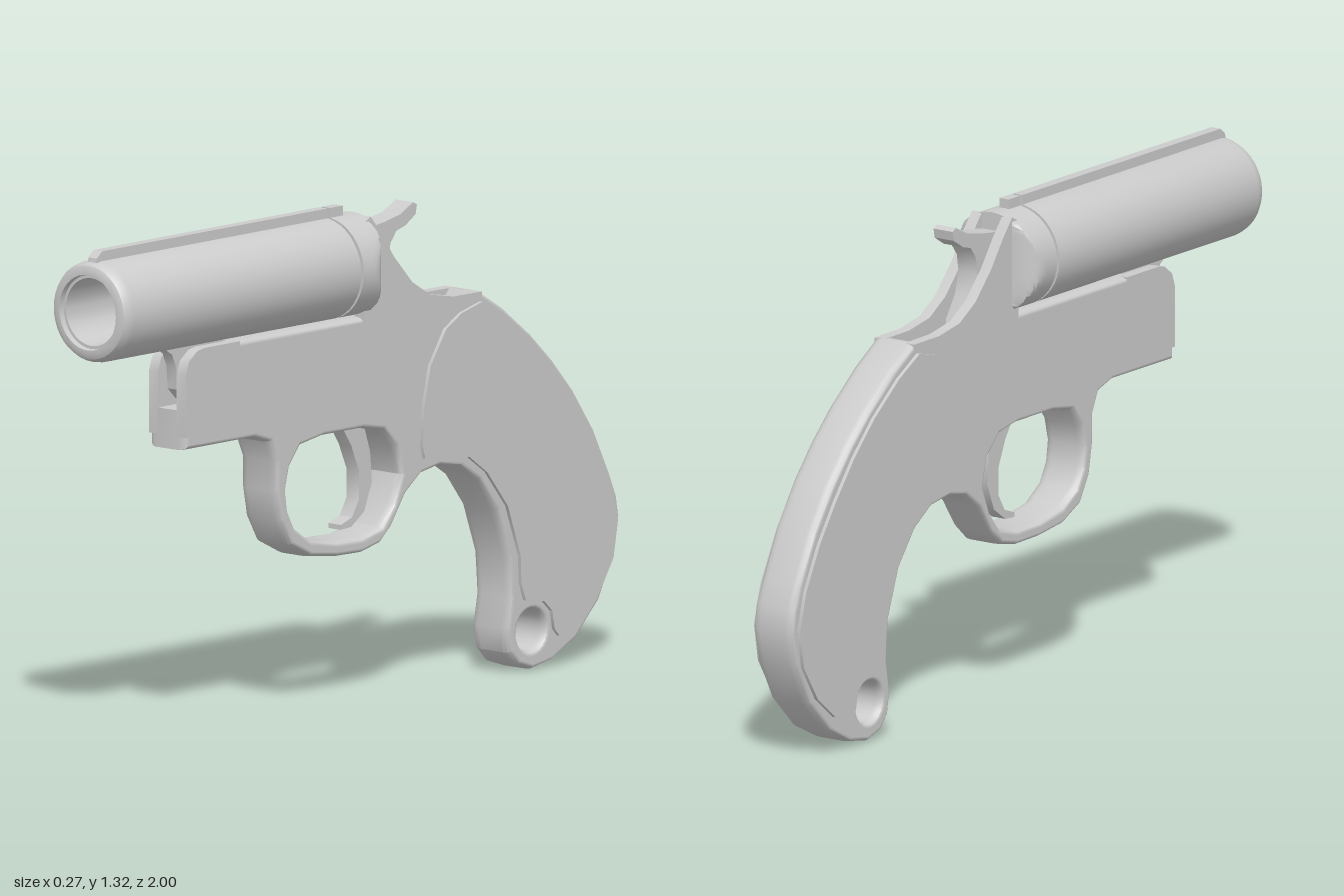
import * as THREE from 'three';
import { toCreasedNormals } from 'three/addons/utils/BufferGeometryUtils.js';

const material = new THREE.MeshStandardMaterial({ color: 0xcccccc });
const AXIS_Y = 1.155; // height of the barrel axis
const RADIUS = 0.135;

function add(group, name, geometry) {
  const mesh = new THREE.Mesh(geometry, material);
  mesh.name = name;
  group.add(mesh);
  return mesh;
}

// Side profile of [z, y] points, extruded across x and centred on x = 0.
function profile(points, width, { holes = [], bevel = 0, depth = 0 } = {}) {
  const toVectors = (list) => list.map(([z, y]) => new THREE.Vector2(z, y));
  const shape = new THREE.Shape(toVectors(points));
  holes.forEach((h) => shape.holes.push(new THREE.Path(toVectors(h))));
  let g = new THREE.ExtrudeGeometry(shape, {
    depth: width - 2 * depth,
    bevelEnabled: bevel > 0,
    bevelSize: bevel,
    bevelThickness: depth,
    bevelOffset: -bevel,
    bevelSegments: 3,
    curveSegments: 12,
  });
  g.translate(0, 0, -(width - 2 * depth) / 2);
  g.rotateY(-Math.PI / 2);
  g = toCreasedNormals(g, 0.62);
  // Keep the flat sides flat where rounded edges meet them
  if (bevel > 0) {
    const { position, normal } = g.attributes;
    for (let i = 0; i < position.count; i++) {
      const x = position.getX(i);
      if (Math.abs(x) > width / 2 - 1e-4) normal.setXYZ(i, Math.sign(x), 0, 0);
    }
  }
  return g;
}

function ring(z, y, r, n) {
  return Array.from({ length: n }, (_, i) => {
    const a = (i / n) * Math.PI * 2;
    return [z + r * Math.cos(a), y + r * Math.sin(a)];
  });
}

// Same part on both sides of the frame
function addPair(group, name, points, width, x, options) {
  for (const [side, s] of [['left', 1], ['right', -1]]) {
    add(group, `${side}${name}`, profile(points, width, options)).position.x = s * x;
  }
}

export function createModel() {
  const model = new THREE.Group();
  model.name = 'flarePistol';

  // Frame, guard and grip core, with cut-outs for the front lug and the hammer
  const frame = [
    [0.69, 0.755], [0.69, 0.86], [0.5, 0.86], [0.5, 1.02], [-0.03, 1.02], [-0.03, 0.93],
    [-0.25, 0.93], [-0.38, 0.96], [-0.44, 1.03], [-0.46, 1.03], [-0.55, 0.975], [-0.66, 0.89],
    [-0.74, 0.815], [-0.82, 0.725], [-0.9, 0.61], [-0.965, 0.48], [-0.99, 0.42], [-1, 0.36],
    [-0.98, 0.265], [-0.92, 0.15], [-0.83, 0.06], [-0.74, 0.015], [-0.66, 0], [-0.605, 0.018],
    [-0.57, 0.055], [-0.56, 0.12], [-0.575, 0.2], [-0.567, 0.31], [-0.52, 0.44], [-0.45, 0.53],
    [-0.38, 0.575], [-0.3, 0.587], [-0.23, 0.575], [-0.17, 0.53], [-0.115, 0.45], [-0.07, 0.41],
    [0, 0.395], [0.1, 0.397], [0.2, 0.41], [0.28, 0.45], [0.32, 0.52], [0.335, 0.6],
    [0.335, 0.68], [0.36, 0.735], [0.42, 0.755],
  ];
  const guardOpening = [
    [0.295, 0.6], [0.28, 0.66], [0.24, 0.71], [0.15, 0.725], [0, 0.725], [-0.08, 0.71],
    [-0.13, 0.66], [-0.15, 0.585], [-0.12, 0.51], [-0.075, 0.455], [0, 0.435], [0.1, 0.438],
    [0.2, 0.455], [0.26, 0.495], [0.287, 0.545],
  ];
  add(model, 'frame', profile(frame, 0.13, {
    holes: [guardOpening, ring(-0.655, 0.105, 0.055, 24)], bevel: 0.014, depth: 0.025,
  }));

  // Side walls of the hammer slot and of the front slot
  addPair(model, 'RearWall', [
    [0, 1.27], [-0.028, 1.285], [-0.07, 1.235], [-0.12, 1.165], [-0.19, 1.09], [-0.26, 1.047],
    [-0.35, 1.031], [-0.46, 1.03], [-0.46, 0.88], [0, 0.88],
  ], 0.032, 0.049);
  addPair(model, 'FrontWall', [
    [0.69, 0.79], [0.69, 0.955], [0.678, 0.99], [0.645, 1.015], [0.62, 1.02], [0.48, 1.02], [0.48, 0.79],
  ], 0.032, 0.049);

  // Grip panels
  addPair(model, 'GripPanel', [
    [-0.23, 0.617], [-0.22, 0.65], [-0.225, 0.75], [-0.25, 0.86], [-0.31, 0.95], [-0.37, 0.985],
    [-0.45, 1.005], [-0.54, 0.955], [-0.65, 0.87], [-0.74, 0.78], [-0.82, 0.68], [-0.89, 0.58],
    [-0.95, 0.465], [-0.978, 0.36], [-0.96, 0.26], [-0.9, 0.165], [-0.82, 0.1], [-0.75, 0.08],
    [-0.732, 0.1], [-0.722, 0.15], [-0.69, 0.18], [-0.62, 0.19], [-0.602, 0.24], [-0.6, 0.31],
    [-0.55, 0.45], [-0.47, 0.55], [-0.4, 0.6], [-0.3, 0.613],
  ], 0.02, 0.065);

  // Hollow barrel with rounded muzzle
  const barrel = new THREE.LatheGeometry([
    [0, 0.085], [RADIUS, 0.085], [RADIUS, 0.965], [0.132, 0.982], [0.124, 0.995], [0.112, 1],
    [0.1, 1], [0.098, 0.985], [0.09, 0.985], [0.09, 0.1], [0, 0.1],
  ].map(([r, z]) => new THREE.Vector2(r, z)), 40);
  barrel.rotateX(Math.PI / 2);
  add(model, 'barrel', toCreasedNormals(barrel, 0.6)).position.y = AXIS_Y;

  // Breech: round in front, its sides narrowing to the frame behind
  const breech = new THREE.CylinderGeometry(RADIUS, RADIUS, 0.105, 40, 10);
  breech.rotateX(Math.PI / 2).translate(0, 0, 0.0225);
  const p = breech.attributes.position;
  for (let i = 0; i < p.count; i++) {
    const t = THREE.MathUtils.clamp((0.03 - p.getZ(i)) / 0.06, 0, 1);
    const w = 0.065 + 0.07 * Math.sqrt(1 - t * t);
    p.setX(i, THREE.MathUtils.clamp(p.getX(i), -w, w));
  }
  add(model, 'breech', toCreasedNormals(breech, 0.6)).position.y = AXIS_Y;

  // Sighting rib along the barrel and its short rear piece
  add(model, 'sightRib', profile([
    [0.085, 1.27], [0.985, 1.27], [0.98, 1.298], [0.96, 1.315], [0.085, 1.315],
  ], 0.03));
  add(model, 'rearSight', profile([[0.025, 1.27], [0.075, 1.27], [0.075, 1.315], [0.025, 1.315]], 0.03));

  // Hinge lug under the barrel
  add(model, 'barrelLug', profile([
    [0.72, 1.025], [0.69, 1.005], [0.675, 0.97], [0.67, 0.91], [0.64, 0.88], [0.58, 0.88],
    [0.5, 0.95], [0.5, 1.03], [0.72, 1.03],
  ], 0.034));

  // Hammer with spur
  add(model, 'hammer', profile([
    [-0.02, 1.24], [-0.06, 1.247], [-0.12, 1.255], [-0.18, 1.267], [-0.23, 1.293], [-0.245, 1.285],
    [-0.24, 1.26], [-0.2, 1.235], [-0.165, 1.225], [-0.142, 1.195], [-0.135, 1.15], [-0.15, 1.09],
    [-0.19, 1.03], [-0.2, 0.92], [-0.02, 0.92],
  ], 0.062));

  // Curved trigger
  add(model, 'trigger', profile([
    [0.04, 0.735], [0, 0.675], [-0.03, 0.605], [-0.03, 0.53], [-0.003, 0.485], [0.04, 0.47],
    [0.04, 0.457], [0, 0.46], [-0.05, 0.495], [-0.08, 0.57], [-0.073, 0.65], [-0.045, 0.735],
  ], 0.044));

  return model;
}
